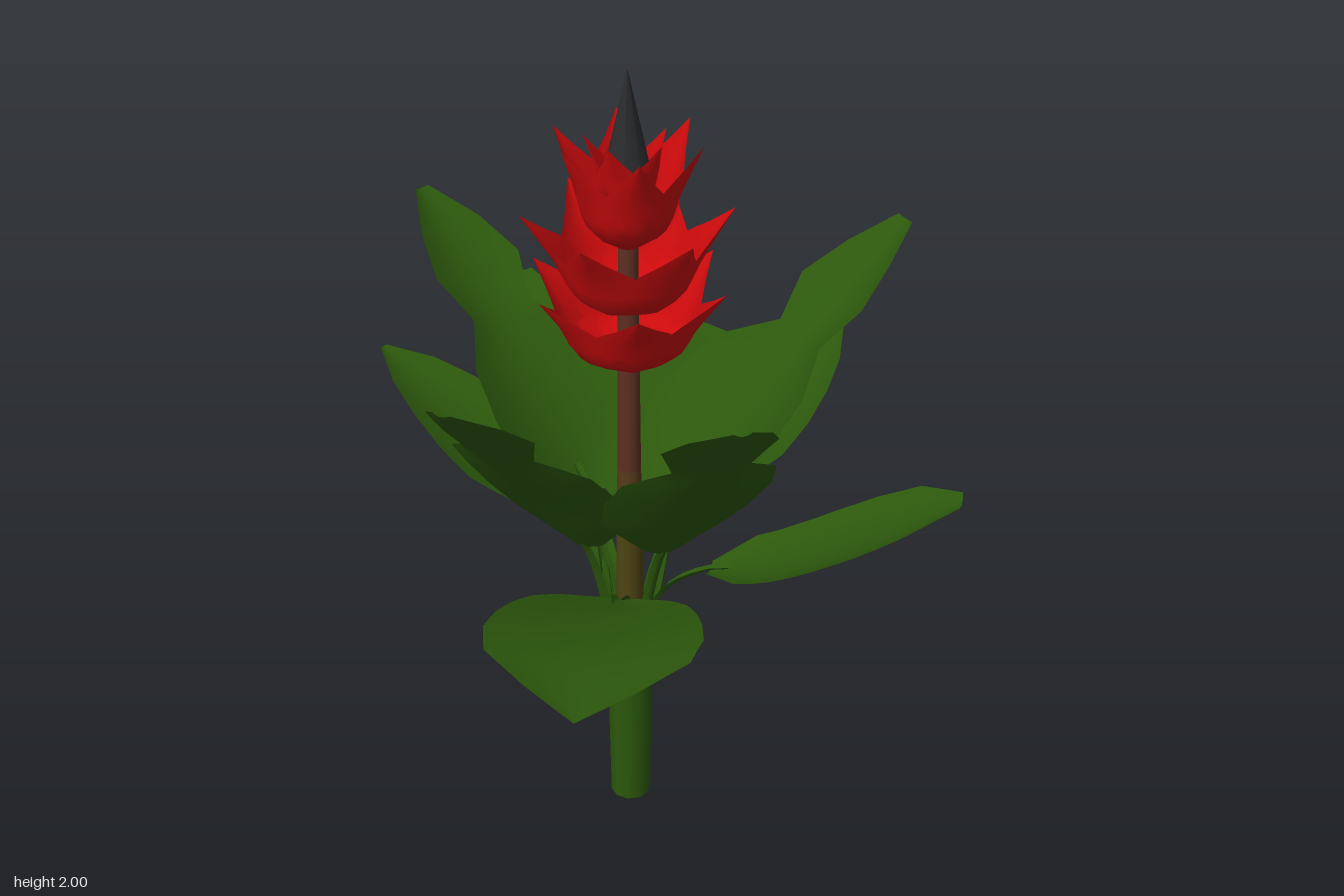
import * as THREE from 'three';

const mat = (name, color, side = THREE.FrontSide) => {
  const m = new THREE.MeshStandardMaterial({ color, side });
  m.name = name;
  return m;
};
const V = (x, y, z) => new THREE.Vector3(x, y, z);
const AX = -0.045, AZ = 0.01; // plant axis

// Cupped blade swept along a midrib; widths are half-widths at even stations.
function bladeGeometry(points, widths, cup, rows = 12, cols = 6) {
  const curve = new THREE.CatmullRomCurve3(points);
  const dir = points[points.length - 1].clone().sub(points[0]).setY(0).normalize();
  const side = dir.clone().cross(V(0, 1, 0));
  const pos = [], idx = [];
  for (let i = 0; i <= rows; i++) {
    const t = i / rows, f = t * (widths.length - 1);
    const k = Math.min(Math.floor(f), widths.length - 2);
    const w = THREE.MathUtils.lerp(widths[k], widths[k + 1], f - k);
    const p = curve.getPointAt(t);
    const n = side.clone().cross(curve.getTangentAt(t)).normalize();
    for (let j = 0; j <= cols; j++) {
      const u = (j / cols) * 2 - 1;
      const q = p.clone().addScaledVector(side, u * w).addScaledVector(n, cup * w * u * u);
      pos.push(q.x, q.y, q.z);
      if (i < rows && j < cols) {
        const a = i * (cols + 1) + j, c = a + cols + 1;
        idx.push(a, a + 1, c, a + 1, c + 1, c);
      }
    }
  }
  const g = new THREE.BufferGeometry();
  g.setAttribute('position', new THREE.Float32BufferAttribute(pos, 3));
  g.setIndex(idx);
  g.computeVertexNormals();
  return g;
}

export function createModel() {
  const root = new THREE.Group();
  root.name = 'floweringPlant';
  const green = mat('leafGreen', 0x2c580c, THREE.DoubleSide);
  const red = mat('petalRed', 0xcc0a0c, THREE.DoubleSide);
  const brown = mat('stemBrown', 0x5e3022);
  const umber = mat('stemUmber', 0x573a1a);
  const olive = mat('stemOlive', 0x4e4412);
  const charcoal = mat('budCharcoal', 0x2b2c2e);
  const add = (name, geometry, material, parent = root) => {
    const m = new THREE.Mesh(geometry, material);
    m.name = name;
    parent.add(m);
    return m;
  };
  const column = (name, rTop, rBottom, y0, y1, material, sides = 10) =>
    add(name, new THREE.CylinderGeometry(rTop, rBottom, y1 - y0, sides), material)
      .position.set(AX, (y0 + y1) / 2, AZ);

  // Stalk, stem and bud
  column('sheath', 0.058, 0.052, 0, 0.42, green);
  column('lowerStem', 0.033, 0.036, 0.4, 0.84, olive);
  column('middleStem', 0.029, 0.033, 0.84, 1, umber);
  column('upperStem', 0.022, 0.029, 1, 1.72, brown);
  column('bud', 0.001, 0.06, 1.74, 2, charcoal, 8);

  // Leaves: cup, half-widths, then midrib points
  const broad = [0.03, 0.13, 0.18, 0.21, 0.23, 0.24, 0.22, 0.12, 0];
  const narrow = [0.02, 0.1, 0.14, 0.14, 0.12, 0.08, 0.01];
  const blunt = [0.03, 0.11, 0.13, 0.14, 0.14, 0.12, 0.04];
  const torn = [0.05, 0.18, 0.2, 0.18, 0.09, 0.13, 0.09, 0.02];
  const tornWide = [0.05, 0.19, 0.22, 0.2, 0.09, 0.13, 0.09, 0.03];
  const leaves = [
    ['frontLeaf', 0.16, broad, [-0.04, 0.74, 0.2], [-0.03, 0.85, 0.43], [-0.015, 0.93, 0.68], [0, 0.953, 0.945]],
    ['backLeaf', 0.16, broad, [-0.05, 0.74, -0.18], [-0.055, 0.85, -0.43], [-0.065, 0.93, -0.68], [-0.1, 0.953, -0.945]],
    ['leftLeaf', 0.25, blunt, [0.17, 0.79, 0.11], [0.34, 0.86, 0.17], [0.55, 0.98, 0.21], [0.75, 1.09, 0.2]],
    ['rightLeaf', 0.25, narrow, [-0.22, 0.79, -0.08], [-0.38, 0.86, -0.15], [-0.57, 0.98, -0.25], [-0.76, 1.08, -0.36]],
    ['backLeftLeaf', 0.28, narrow, [0.08, 0.8, -0.16], [0.18, 0.86, -0.34], [0.3, 0.96, -0.54], [0.41, 1.06, -0.72]],
    ['backRightLeaf', 0.28, blunt, [-0.18, 0.8, -0.16], [-0.31, 0.88, -0.34], [-0.42, 1.01, -0.56], [-0.49, 1.13, -0.76]],
    ['upperFrontRightLeaf', 0.3, torn, [-0.14, 0.84, 0.13], [-0.23, 1.04, 0.27], [-0.28, 1.26, 0.45], [-0.31, 1.5, 0.7]],
    ['upperFrontLeftLeaf', 0.3, torn, [0.06, 0.84, 0.13], [0.15, 1.04, 0.27], [0.22, 1.26, 0.44], [0.3, 1.5, 0.68]],
    ['upperBackLeftLeaf', 0.3, tornWide, [0.07, 0.86, -0.07], [0.22, 1.08, -0.19], [0.38, 1.27, -0.31], [0.57, 1.49, -0.46]],
    ['upperBackRightLeaf', 0.3, torn, [-0.16, 0.86, -0.07], [-0.3, 1.08, -0.19], [-0.46, 1.27, -0.31], [-0.66, 1.49, -0.46]],
  ];
  for (const [name, cup, widths, ...pts] of leaves) {
    const leaf = new THREE.Group();
    leaf.name = name;
    root.add(leaf);
    const rib = pts.map(p => V(...p));
    add(name + 'Blade', bladeGeometry(rib, widths, cup, (widths.length - 1) * 2), green, leaf);
    // Channelled leaf stalk wrapping the sheath at its foot
    const out = V(rib[0].x - AX, 0, rib[0].z - AZ).normalize();
    const at = (r, y) => V(AX + out.x * r, y, AZ + out.z * r);
    const stalk = [at(0.05, 0.28), at(0.062, 0.45), at(0.095, 0.66), rib[0], rib[0].clone().lerp(rib[1], 0.3)];
    add(name + 'Stalk', bladeGeometry(stalk, [0.03, 0.034, 0.022, 0.016, 0.016, 0.01], 0.7, 12, 4), green, leaf);
  }

  // Flower: tiers of pointed, cupped petals
  // base height, reach, rise, half-width, count, turn
  const tiers = [
    [1.28, 0.245, 0.23, 0.115, 6, 0.25],
    [1.42, 0.245, 0.25, 0.11, 6, 0.75],
    [1.58, 0.18, 0.27, 0.085, 6, 0.3],
    [1.67, 0.1, 0.18, 0.055, 5, 0.8],
  ];
  const flower = new THREE.Group();
  flower.name = 'flower';
  flower.position.set(AX, 0, AZ);
  root.add(flower);
  tiers.forEach(([y, r, h, w, count, turn], tier) => {
    const geometry = bladeGeometry(
      [V(0, y, 0.015), V(0, y + h * 0.2, r * 0.5), V(0, y + h * 0.55, r * 0.7), V(0, y + h, r)],
      [w * 0.35, w * 0.9, w, w * 0.85, w * 0.38, 0], 0.4, 10, 4);
    for (let i = 0; i < count; i++) {
      add(`petalTier${tier + 1}`, geometry, red, flower).rotation.y = ((i + turn) / count) * Math.PI * 2;
    }
  });
  return root;
}
